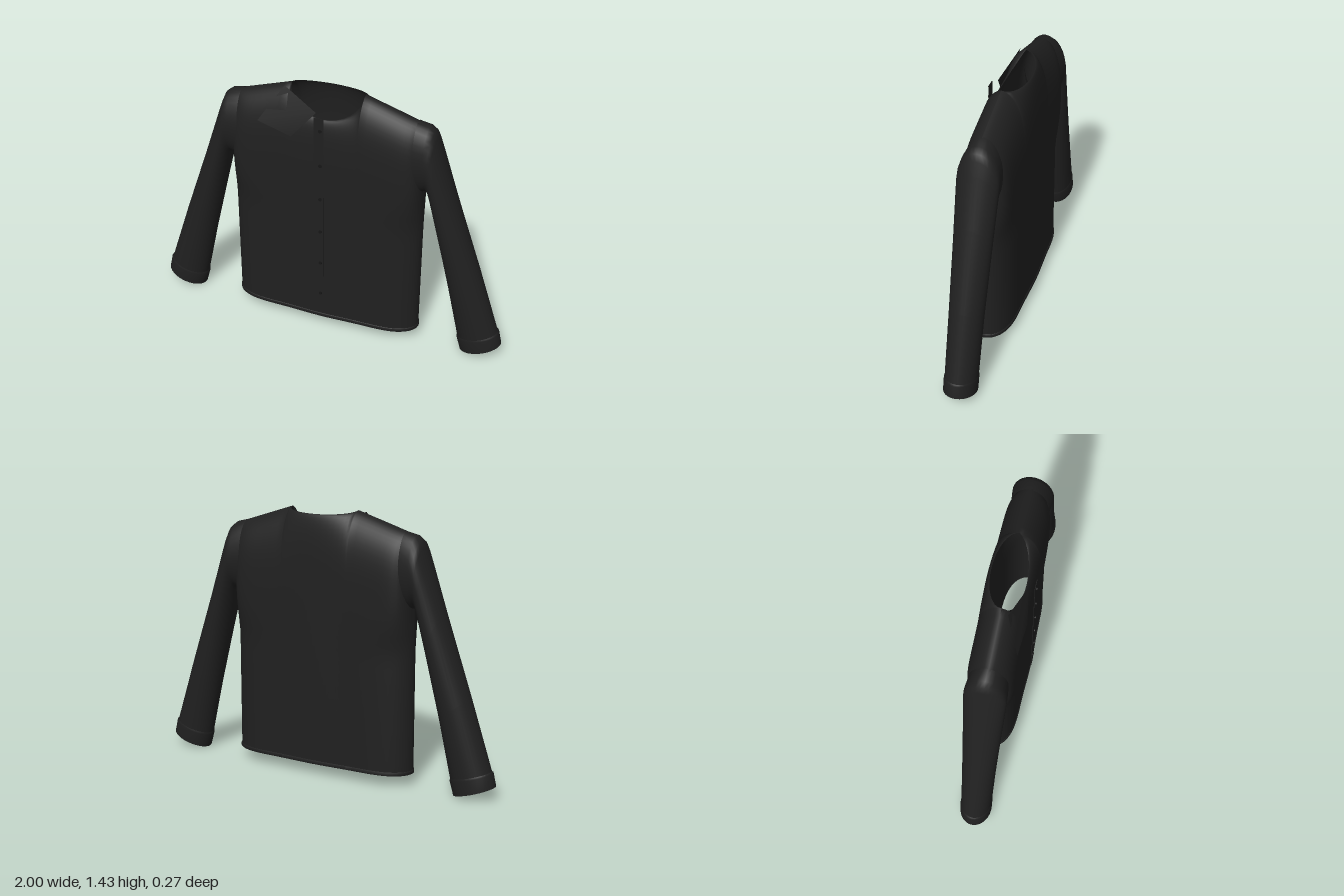
import * as THREE from 'three';

const fabric = new THREE.MeshStandardMaterial({ color: 0x202020, side: THREE.DoubleSide });
fabric.name = 'black fabric';
const dark = new THREE.MeshStandardMaterial({ color: 0x161616, side: THREE.DoubleSide });
dark.name = 'dark trim';

// Skin a grid of points: rows of equal length, each point [x, y, z]
function loft(rows, closed = false) {
  const n = rows[0].length;
  const index = [];
  for (let r = 0; r < rows.length - 1; r++) {
    for (let c = 0; c < (closed ? n : n - 1); c++) {
      const a = r * n + c, b = r * n + (c + 1) % n;
      index.push(a, b, a + n, b, b + n, a + n);
    }
  }
  const geo = new THREE.BufferGeometry();
  geo.setAttribute('position', new THREE.Float32BufferAttribute(rows.flat(2), 3));
  geo.setIndex(index);
  geo.computeVertexNormals();
  return geo;
}

function add(parent, name, geo, mat = fabric) {
  const mesh = new THREE.Mesh(geo, mat);
  mesh.name = name;
  parent.add(mesh);
  return mesh;
}

const HALF = 0.53, NECK = 0.2, HEM = 0.07;

// Columns across the body, with exact stops at the neck corners
function columns() {
  const xs = [];
  for (let i = 0; i < 14; i++) xs.push(-NECK - (HALF - NECK) * Math.cos((i / 14) * Math.PI / 2));
  for (let i = 0; i <= 16; i++) xs.push(-NECK * Math.cos((i / 16) * Math.PI));
  for (let i = 13; i >= 0; i--) xs.push(-xs[i]);
  return xs;
}

const neckArc = x => Math.sqrt(Math.max(0, 1 - (x / NECK) ** 2));

// Height of the shoulder seam or neckline above x
function topY(x, front) {
  const ax = Math.abs(x);
  if (ax >= NECK) return 1.43 - 0.11 * (ax - NECK) / 0.35;
  return 1.43 - (front ? 0.14 : 0.022) * neckArc(x);
}

// Depth of the front or back panel at a point
function depth(x, y, front) {
  const n = 5 + 11 * THREE.MathUtils.smoothstep(y, 0.7, 1.0);
  const round = Math.sqrt(Math.max(0, 1 - Math.abs(x / HALF) ** n));
  const drape = 0.003 * Math.cos(x * 14) * (1 - THREE.MathUtils.smoothstep(y, 0.4, 1.1));
  const full = ((front ? 0.116 : 0.127) + drape) * round;
  const rim = (front ? 0.08 : 0.095) * neckArc(x);
  const s = THREE.MathUtils.clamp((y - 0.9) / (topY(x, front) - 0.9), 0, 1);
  const z = rim + (full - rim) * Math.max(0, 1 - s ** 4) ** 0.6;
  return front ? z : -z;
}

function panel(front) {
  const xs = columns(), rows = [];
  for (let r = 0; r <= 28; r++) {
    // Rows crowd together toward the shoulder
    const t = Math.sin((r / 28) * Math.PI / 2);
    rows.push(xs.map(x => {
      const y = HEM + (topY(x, front) - HEM) * t;
      return [x, y, depth(x, y, front)];
    }));
  }
  return loft(rows);
}

// Narrow folded edge around the bottom
function hemBand() {
  const xs = columns();
  const ring = (y, k) => [
    ...xs.map(x => [x * k, y, depth(x, y, true) * (1 + (k - 1) * 5)]),
    ...xs.slice(1, -1).reverse().map(x => [x * k, y, depth(x, y, false) * (1 + (k - 1) * 5)]),
  ];
  return loft([ring(0.083, 1), ring(0.08, 1.007), ring(0.064, 1.007), ring(0.064, 0.998)], true);
}

// Elliptical rings between outer and inner edge points: [outX, outY, inX, inY, halfDepth]
function sleeveTube(stations, side) {
  return loft(stations.map(([ox, oy, ix, iy, h]) => {
    const ring = [];
    for (let i = 0; i < 32; i++) {
      const a = (i / 32) * Math.PI * 2, c = Math.cos(a) / 2;
      ring.push([
        side * ((ox + ix) / 2 + (ox - ix) * c),
        (oy + iy) / 2 + (oy - iy) * c,
        -0.004 + h * Math.sin(a),
      ]);
    }
    return ring;
  }), true);
}

const SLEEVE = [
  [0.48, 1.342, 0.48, 0.93, 0.1], [0.54, 1.328, 0.53, 0.95, 0.107],
  [0.57, 1.305, 0.545, 0.958, 0.109], [0.585, 1.27, 0.557, 0.945, 0.109],
  [0.61, 1.2, 0.57, 0.9, 0.107], [0.7, 0.94, 0.615, 0.71, 0.1],
  [0.85, 0.52, 0.69, 0.39, 0.09], [0.975, 0.15, 0.757, 0.085, 0.084],
];
const CUFF = [
  [0.974, 0.152, 0.756, 0.088, 0.084], [0.984, 0.145, 0.754, 0.075, 0.087],
  [1.0, 0.075, 0.776, 0.0, 0.087], [0.996, 0.076, 0.781, 0.003, 0.083],
];

export function createModel() {
  const shirt = new THREE.Group();
  shirt.name = 'shirt';

  // Body
  add(shirt, 'frontPanel', panel(true));
  add(shirt, 'backPanel', panel(false));
  add(shirt, 'hem', hemBand());

  // Sleeves and cuffs
  for (const [label, side] of [['left', 1], ['right', -1]]) {
    add(shirt, label + 'Sleeve', sleeveTube(SLEEVE, side));
    add(shirt, label + 'Cuff', sleeveTube(CUFF, side));
  }

  // Collar flap on the right side of the neck
  add(shirt, 'collarFlap', loft([
    [[-0.03, 1.33, 0.095], [-0.225, 1.42, 0.037]],
    [[-0.16, 1.18, 0.12], [-0.35, 1.23, 0.11]],
  ].map(row => row.slice().reverse())));

  // Button strip
  const placket = add(shirt, 'placket', new THREE.BoxGeometry(0.054, 1.2, 0.003));
  placket.position.set(-0.003, 0.72, 0.127);

  // Buttons
  const buttonGeo = new THREE.CylinderGeometry(0.009, 0.009, 0.006, 16).rotateX(Math.PI / 2);
  for (let i = 0; i < 6; i++) {
    const button = add(shirt, 'button', buttonGeo, dark);
    button.position.set(0.005, 0.23 + i * 0.204, 0.131);
  }
  return shirt;
}
